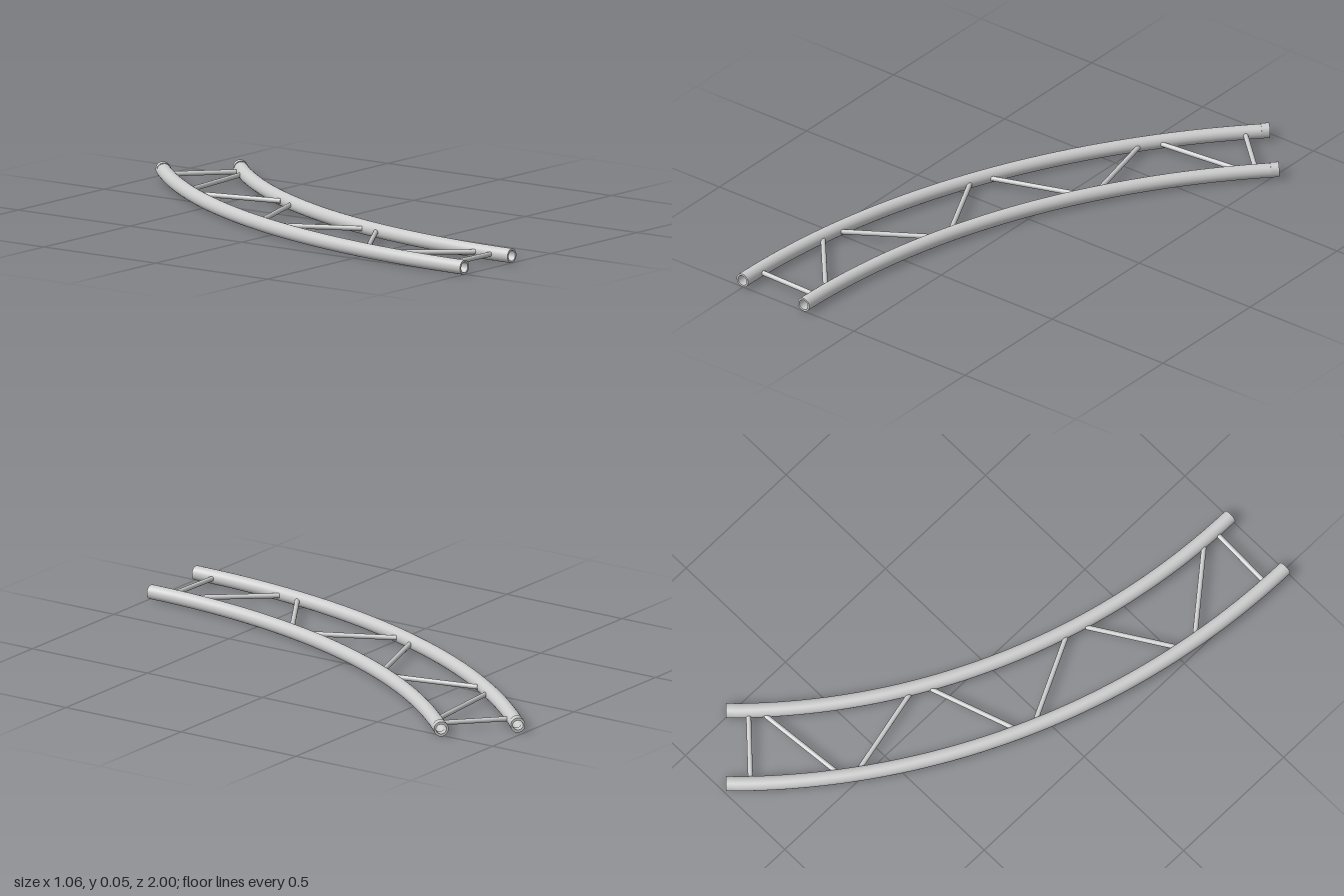
import * as THREE from 'three';

const CX = 2.297, CZ = 1;             // centre of the bend
const R_OUT = 2.801, R_IN = 2.525;    // bend radius of each chord
const TUBE = 0.026, BORE = 0.019, ROD = 0.009;
const SWEEP = Math.PI / 4, MID = 0.026;
const deg = THREE.MathUtils.degToRad;

const grey = new THREE.MeshStandardMaterial({ color: 0xcccccc });
const greyDouble = new THREE.MeshStandardMaterial({ color: 0xcccccc, side: THREE.DoubleSide });

// Point on the bend at angle a from the front end
const onBend = (r, a, y = MID) => new THREE.Vector3(CX - r * Math.cos(a), y, CZ - r * Math.sin(a));

// Hollow pipe following the bend from angle a0 to a1
function pipe(name, r, a0, a1, y, segments) {
  const group = new THREE.Group();
  group.name = name;
  const wall = (part, radius, material) => {
    const geo = new THREE.TorusGeometry(r, radius, 32, segments, a1 - a0);
    geo.rotateZ(Math.PI - a1).rotateX(-Math.PI / 2).translate(CX, y, CZ);
    const mesh = new THREE.Mesh(geo, material);
    mesh.name = part;
    group.add(mesh);
  };
  wall('outerWall', TUBE, grey);
  wall('bore', BORE, greyDouble);
  for (const a of [a0, a1]) {
    const rim = new THREE.Mesh(new THREE.RingGeometry(BORE, TUBE, 32), greyDouble);
    rim.name = 'rim';
    rim.position.copy(onBend(r, a, y));
    rim.rotation.y = -a;
    group.add(rim);
  }
  return group;
}

// Straight round rod between two points
function rod(name, p, q) {
  const dir = q.clone().sub(p);
  const mesh = new THREE.Mesh(new THREE.CylinderGeometry(ROD, ROD, dir.length(), 16), grey);
  mesh.name = name;
  mesh.position.copy(p).add(q).multiplyScalar(0.5);
  mesh.quaternion.setFromUnitVectors(new THREE.Vector3(0, 1, 0), dir.normalize());
  return mesh;
}

export function createModel() {
  const model = new THREE.Group();
  model.name = 'curvedLadderTruss';

  // Two chords, each with a short sleeve on the far end
  for (const [side, r] of [['outer', R_OUT], ['inner', R_IN]]) {
    model.add(pipe(side + 'Chord', r, 0, SWEEP, MID, 64));
    model.add(pipe(side + 'EndSleeve', r, SWEEP - 0.03 / r, SWEEP, MID + 0.003, 2));
  }

  // Rods reach just into the chord walls
  const outer = (d) => onBend(R_OUT - 0.022, deg(d));
  const inner = (d) => onBend(R_IN + 0.022, deg(d));

  // Straight rungs near both ends
  for (const d of [1.8, 43.2]) model.add(rod('endRung', inner(d), outer(d)));

  // Zigzag braces, alternating direction
  for (let k = 0; k < 6; k++) {
    const a = 3.35 + 6.72 * k, b = a + 4.9;
    model.add(k % 2 ? rod('brace', outer(a), inner(b)) : rod('brace', inner(a), outer(b)));
  }
  return model;
}
